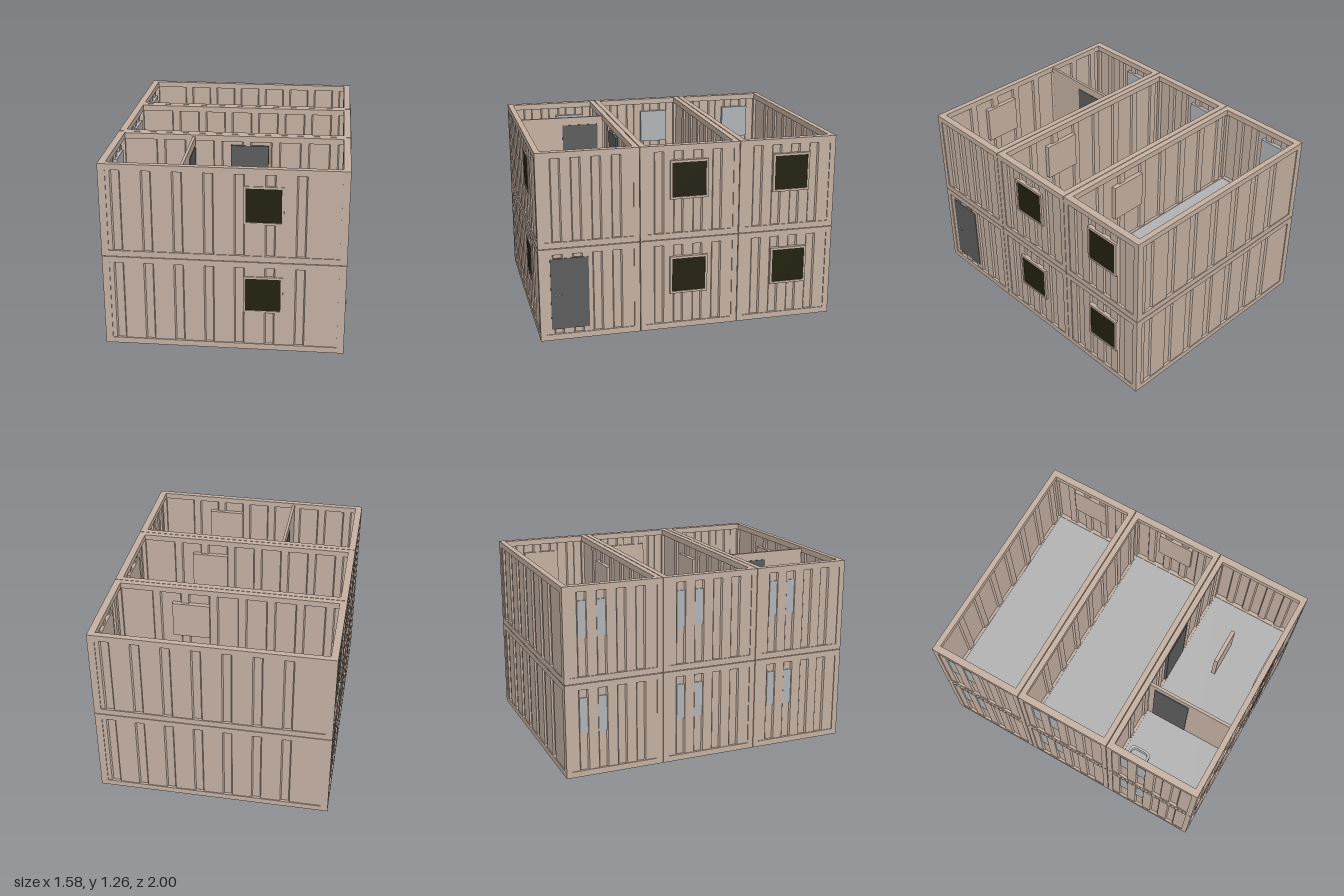
import * as THREE from 'three';

const mat = (name, color) => {
  const m = new THREE.MeshStandardMaterial({ color });
  m.name = name;
  return m;
};

export function createModel() {
  const tan = mat('tan panel', 0xc4b0a2);
  const floorGrey = mat('floor grey', 0xb2b2b2);
  const doorGrey = mat('door grey', 0x5c5c5c);
  const olive = mat('dark olive pane', 0x22200e);
  const paleGlass = mat('pale grey glass', 0xb0b4b8);
  const steel = mat('light metal', 0xcccccc);

  const root = new THREE.Group();
  root.name = 'stackedCabins';

  // Box given by its limits on each axis
  function box(parent, name, m, [x0, x1], [y0, y1], [z0, z1]) {
    const mesh = new THREE.Mesh(new THREE.BoxGeometry(x1 - x0, y1 - y0, z1 - z0), m);
    mesh.position.set((x0 + x1) / 2, (y0 + y1) / 2, (z0 + z1) / 2);
    mesh.name = name;
    parent.add(mesh);
    return mesh;
  }

  // Corrugated sheet: grooves are [start, end] spans along the wall; outside faces +z
  function sheetGeometry(half, y0, y1, grooves) {
    const hi = 0.006, lo = 0.018, slope = 0.008, thick = 0.013;
    const pts = [[-half, hi]];
    for (const [a, b] of grooves) pts.push([a, hi], [a + slope, lo], [b - slope, lo], [b, hi]);
    pts.push([half, hi]);
    const inner = pts.map(([u, d]) => [u, d + thick]).reverse();
    const shape = new THREE.Shape([...pts, ...inner].map(([u, d]) => new THREE.Vector2(u, d)));
    const g = new THREE.ExtrudeGeometry(shape, { depth: y1 - y0, bevelEnabled: false });
    g.rotateX(-Math.PI / 2);
    g.translate(0, y0, 0);
    return g;
  }

  const X0 = -0.79, X1 = 0.78, XC = -0.005, HX = 0.785, HZ = 0.332, H = 0.628;
  const PX = 0.047, PZ = 0.038, RAIL = 0.04;

  // Wide corrugation for the long walls, tight corrugation for the short ones
  const longGrooves = [], sideGrooves = [];
  for (let i = 0; i < 7; i++) longGrooves.push([-0.71 + i * 0.195, -0.645 + i * 0.195]);
  for (let i = 0; i < 4; i++) sideGrooves.push([-0.24 + i * 0.13, -0.175 + i * 0.13]);
  const longSheet = sheetGeometry(HX - PX + 0.002, RAIL, H - RAIL, longGrooves);
  const sideSheet = sheetGeometry(HZ - PZ + 0.002, RAIL, H - RAIL, sideGrooves);

  function wall(parent, name, geo, x, z, turn) {
    const mesh = new THREE.Mesh(geo, tan);
    mesh.name = name;
    mesh.position.set(x, 0, z);
    mesh.rotation.y = turn;
    parent.add(mesh);
  }

  // Rectangular window frame with a pane, centred at the origin and facing +z
  function windowUnit(parent, name, w, h, depth) {
    const g = new THREE.Group();
    g.name = name;
    const t = 0.014, a = w / 2, b = h / 2;
    for (const s of [-1, 1]) {
      const sx = s * (a - t / 2), sy = s * (b - t / 2);
      box(g, 'windowFrameSide', tan, [sx - t / 2, sx + t / 2], [-b, b], [-depth, 0]);
      box(g, 'windowFrameRail', tan, [-a + t, a - t], [sy - t / 2, sy + t / 2], [-depth, 0]);
    }
    box(g, 'windowBacking', tan, [-a + t, a - t], [-b + t, b - t], [-depth, -0.01]);
    box(g, 'windowPane', olive, [-a + t, a - t], [-b + t, b - t], [-0.01, -0.004]);
    parent.add(g);
    return g;
  }

  function cabin(level, row) {
    const g = new THREE.Group();
    g.name = 'cabin';
    g.position.set(0, level * 0.632, row * 0.668);

    // Frame of rails and corner posts
    for (const s of [-1, 1]) {
      const zr = s > 0 ? [HZ - PZ, HZ] : [-HZ, -HZ + PZ];
      const xr = s > 0 ? [X1 - PX, X1] : [X0, X0 + PX];
      for (const y of [[0, RAIL], [H - RAIL, H]]) {
        box(g, 'longRail', tan, [X0, X1], y, zr);
        box(g, 'shortRail', tan, xr, y, [-HZ + PZ, HZ - PZ]);
      }
      for (const z of [[-HZ, -HZ + PZ], [HZ - PZ, HZ]])
        box(g, 'cornerPost', tan, xr, [RAIL, H - RAIL], z);
    }
    box(g, 'floor', floorGrey, [X0 + PX, X1 - PX], [0.004, 0.036], [-HZ + PZ, HZ - PZ]);

    // Corrugated walls
    wall(g, 'frontWall', longSheet, XC, HZ, 0);
    wall(g, 'backWall', longSheet, XC, -HZ, Math.PI);
    wall(g, 'leftWall', sideSheet, X1, 0, Math.PI / 2);
    wall(g, 'rightWall', sideSheet, X0, 0, -Math.PI / 2);

    // Front window, side window and small washroom window
    windowUnit(g, 'frontWindow', 0.255, 0.255, 0.05)
      .position.set(0.25, level ? 0.383 : 0.398, HZ);
    if (row < 1) {
      const w = windowUnit(g, 'sideWindow', 0.255, 0.258, 0.05);
      w.position.set(0.79, level ? 0.4 : 0.38, row ? -0.022 : 0.008);
      w.rotation.y = Math.PI / 2;
    }
    box(g, 'washroomWindow', paleGlass, [-0.779, -0.743], [0.29, 0.53], [-0.233, -0.028]);
    root.add(g);
    return g;
  }

  for (const level of [0, 1]) for (const row of [-1, 0, 1]) cabin(level, row);

  // Lever handle on a door facing +x
  function handle(x, y, z) {
    box(root, 'handleStem', steel, [x, x + 0.01], [y - 0.005, y + 0.005], [z - 0.005, z + 0.005]);
    box(root, 'handleLever', steel, [x + 0.006, x + 0.01], [y - 0.004, y + 0.004], [z - 0.045, z]);
  }

  // Entrance door on the ground floor
  box(root, 'entranceDoor', doorGrey, [0.75, 0.778], [0.075, 0.56], [0.675, 0.925]);
  handle(0.778, 0.315, 0.895);

  // Upper front cabin: partition with door, connecting door, free-standing board
  const Y = 0.632;
  box(root, 'partition', tan, [-0.279, -0.26], [Y + 0.036, Y + 0.615], [0.37, 0.962]);
  box(root, 'partitionDoor', doorGrey, [-0.284, -0.256], [Y + 0.045, Y + 0.56], [0.41, 0.665]);
  handle(-0.256, Y + 0.3, 0.64);
  box(root, 'connectingDoor', doorGrey, [-0.02, 0.235], [Y + 0.045, Y + 0.56], [0.35, 0.3735]);
  box(root, 'lowBoard', tan, [0.195, 0.455], [Y + 0.036, Y + 0.29], [0.628, 0.656]);

  // Wash basin with rounded corners
  function roundedRect(path, x0, x1, y0, y1, r) {
    path.moveTo(x0, y0);
    path.lineTo(x1 - r, y0);
    path.quadraticCurveTo(x1, y0, x1, y0 + r);
    path.lineTo(x1, y1 - r);
    path.quadraticCurveTo(x1, y1, x1 - r, y1);
    path.lineTo(x0, y1);
    path.lineTo(x0, y0);
    return path;
  }
  function slab(name, m, shape, depth, y) {
    const geo = new THREE.ExtrudeGeometry(shape, { depth, bevelEnabled: false, curveSegments: 8 });
    geo.rotateX(-Math.PI / 2);
    const mesh = new THREE.Mesh(geo, m);
    mesh.name = name;
    mesh.position.set(-0.745, y, 0.505);
    root.add(mesh);
  }
  const rim = roundedRect(new THREE.Shape(), 0, 0.135, -0.073, 0.073, 0.04);
  rim.holes.push(roundedRect(new THREE.Path(), 0.035, 0.122, -0.058, 0.058, 0.03));
  slab('basinRim', steel, rim, 0.05, Y + 0.25);
  slab('basinBottom', floorGrey, roundedRect(new THREE.Shape(), 0, 0.133, -0.071, 0.071, 0.04), 0.012, Y + 0.24);
  const tap = new THREE.Mesh(new THREE.TubeGeometry(new THREE.CatmullRomCurve3([
    new THREE.Vector3(-0.728, Y + 0.3, 0.505), new THREE.Vector3(-0.726, Y + 0.335, 0.505),
    new THREE.Vector3(-0.7, Y + 0.34, 0.505), new THREE.Vector3(-0.685, Y + 0.325, 0.505),
  ]), 12, 0.005, 8), steel);
  tap.name = 'tap';
  root.add(tap);
  for (const s of [-1, 1]) {
    const knob = new THREE.Mesh(new THREE.CylinderGeometry(0.007, 0.007, 0.02, 10), steel);
    knob.position.set(-0.725, Y + 0.31, 0.505 + s * 0.022);
    knob.name = 'tapKnob';
    root.add(knob);
  }

  return root;
}
